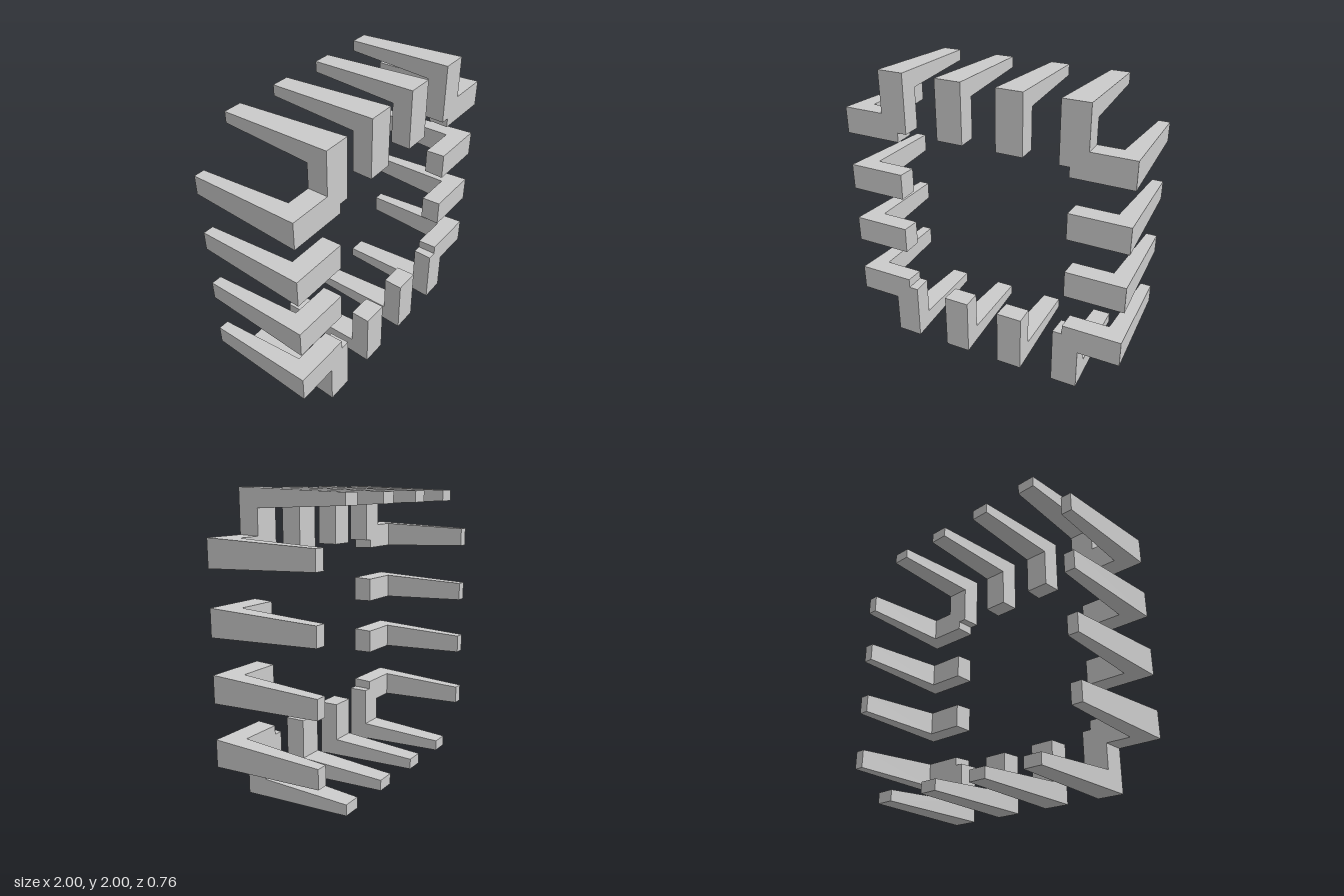
import * as THREE from 'three';

const FRONT = 0.378, BACK = -0.378;

// L-shaped bracket pointing out along +x: a short foot at the front, a tapering arm to the back
function bracketGeometry() {
  const profile = new THREE.Shape([
    [0.597, FRONT], [1, FRONT], [0.972, BACK], [0.898, BACK], [0.874, 0.24], [0.597, 0.24],
  ].map(([r, z]) => new THREE.Vector2(r, z)));
  const geometry = new THREE.ExtrudeGeometry(profile, { depth: 1, bevelEnabled: false });
  geometry.translate(0, 0, -0.5).rotateX(Math.PI / 2);

  // width narrows evenly from front to back
  const p = geometry.attributes.position;
  for (let i = 0; i < p.count; i++) {
    const t = (FRONT - p.getZ(i)) / (FRONT - BACK);
    p.setY(i, p.getY(i) * THREE.MathUtils.lerp(0.181, 0.127, t));
  }
  geometry.computeVertexNormals();
  return geometry;
}

export function createModel() {
  const model = new THREE.Group();
  model.name = 'bracketFrame';
  const material = new THREE.MeshStandardMaterial({ color: 0xcccccc, flatShading: true });
  const geometry = bracketGeometry();

  // four brackets along each side of a square
  ['leftSide', 'topSide', 'rightSide', 'bottomSide'].forEach((name, k) => {
    const side = new THREE.Group();
    side.name = name;
    side.position.y = 1;
    side.rotation.z = k * Math.PI / 2;
    [-0.622, -0.207, 0.207, 0.622].forEach((offset, i) => {
      const bracket = new THREE.Mesh(geometry, material);
      bracket.name = `bracket${i + 1}`;
      bracket.position.y = offset;
      side.add(bracket);
    });
    model.add(side);
  });
  return model;
}
